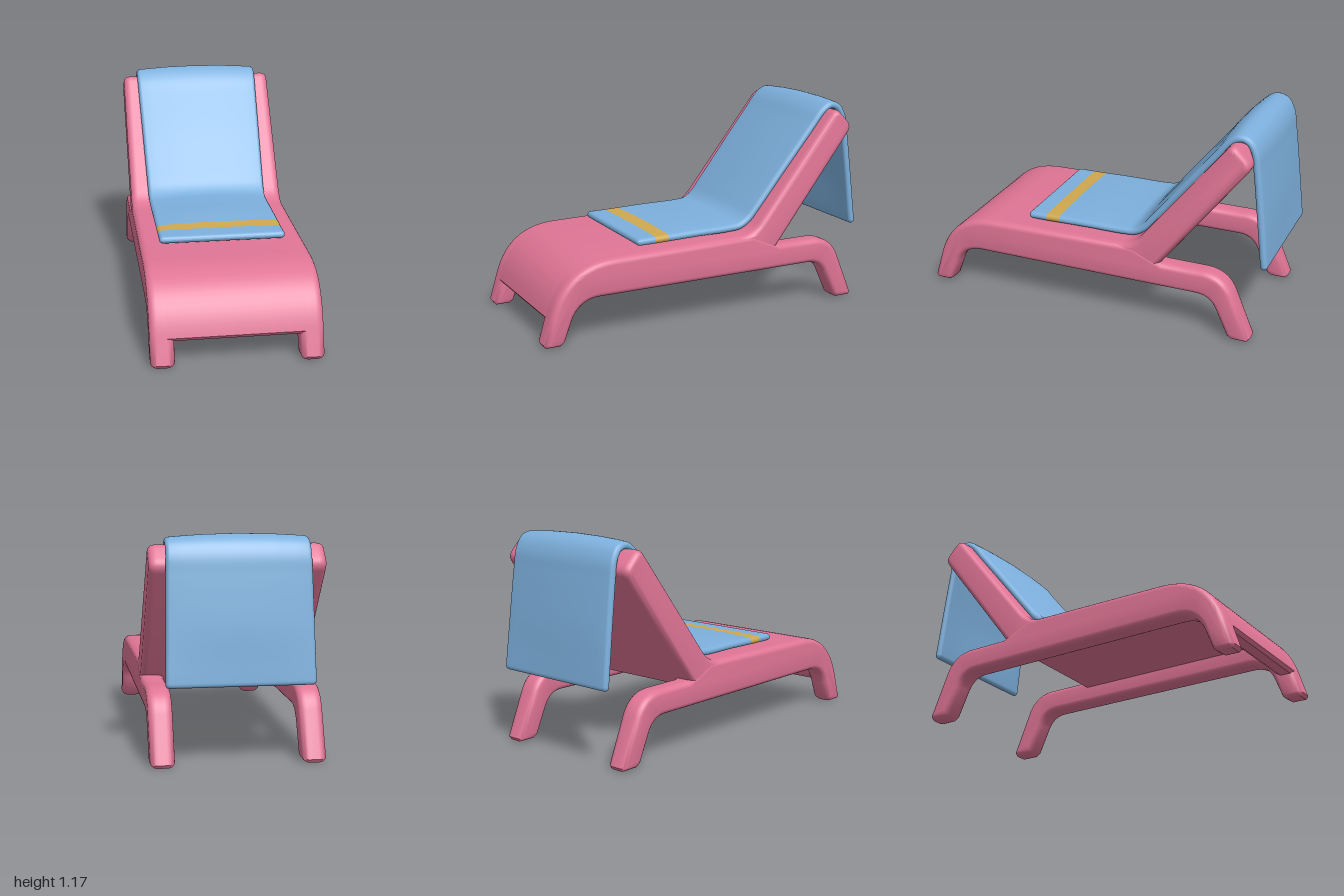
import * as THREE from 'three';
import { mergeVertices, toCreasedNormals } from 'three/addons/utils/BufferGeometryUtils.js';

const pink = new THREE.MeshStandardMaterial({ name: 'pinkPlastic', color: 0xe07596 });
const blue = new THREE.MeshStandardMaterial({ name: 'blueTowel', color: 0x7db0dd });
const yellow = new THREE.MeshStandardMaterial({ name: 'yellowStripe', color: 0xd0a94f });

// Closed side outline from [z, y, cut] corners: big cuts become curves, small ones chamfers
function outline(corners) {
  const pts = [];
  const n = corners.length;
  const at = (i) => new THREE.Vector2(corners[(i + n) % n][0], corners[(i + n) % n][1]);
  for (let i = 0; i < n; i++) {
    const cut = corners[i][2], c = at(i);
    if (!cut) { pts.push(c); continue; }
    const toward = (o) => o.clone().sub(c).setLength(cut).add(c);
    const curve = new THREE.QuadraticBezierCurve(toward(at(i - 1)), c, toward(at(i + 1)));
    pts.push(...curve.getPoints(cut < 0.03 ? 1 : cut > 0.1 ? 14 : 6));
  }
  return new THREE.Shape(pts);
}

// Side outline extruded across x with rounded edges
function slab(name, corners, width, x) {
  const bevel = 0.03, round = 0.04;
  let geo = new THREE.ExtrudeGeometry(outline(corners), {
    depth: width - 2 * round, bevelThickness: round, bevelSize: bevel,
    bevelOffset: -bevel, bevelSegments: 5, steps: 1,
  });
  geo.translate(0, 0, -(width - 2 * round) / 2);
  geo.rotateY(-Math.PI / 2);
  geo.translate(x, 0, 0);
  geo.deleteAttribute('uv');
  geo.deleteAttribute('normal');
  geo = toCreasedNormals(mergeVertices(geo, 1e-4), 0.9);
  const mesh = new THREE.Mesh(geo, pink);
  mesh.name = name;
  return mesh;
}

// Rows of the towel from front edge, over the backrest, to the hanging end
function towelRows() {
  const rows = [];
  const edge = [0, 0.0015, 0.005, 0.011, 0.02];
  const fullness = (d) => Math.sqrt(1 - (1 - d / 0.02) ** 2);
  for (const d of edge) rows.push({ z: 0.415 - d, y: 0.473, f: fullness(d) });
  rows.push({ z: 0.305, y: 0.473, f: 1 });
  const path = new THREE.CatmullRomCurve3([
    [0.225, 0.474], [0.05, 0.477], [-0.16, 0.478], [-0.23, 0.486], [-0.285, 0.52],
    [-0.35, 0.596], [-0.52, 0.808], [-0.69, 1.016], [-0.755, 1.096], [-0.81, 1.13],
    [-0.86, 1.115], [-0.893, 1.06], [-0.908, 0.97], [-0.93, 0.8], [-0.974, 0.44],
  ].map(([z, y]) => new THREE.Vector3(0, y, z)), false, 'centripetal');
  for (const p of path.getPoints(84)) rows.push({ z: p.z, y: p.y, f: 1 });
  for (const d of edge.slice(0, 4).reverse()) {
    rows.push({ z: -0.977 + d * 0.1, y: 0.417 + d, f: fullness(d) });
  }
  return rows;
}

function makeTowel() {
  const rows = towelRows();
  const half = 0.02;

  // Rounded slab cross-section: [flat share, rounding across, rounding through]
  const ring = [];
  for (const s of [1, -1]) {
    for (let k = 0; k <= 6; k++) {
      const a = s * (-Math.PI / 2 + (k * Math.PI) / 6);
      ring.push([s, Math.cos(a) * s, Math.sin(a)]);
    }
    for (const f of [0.85, 0.5, 0, -0.5, -0.85]) ring.push([s * f, 0, s]);
  }

  const pos = [];
  rows.forEach((r, i) => {
    const a = rows[Math.max(i - 1, 0)], b = rows[Math.min(i + 1, rows.length - 1)];
    const len = Math.hypot(b.z - a.z, b.y - a.y);
    const nz = (b.y - a.y) / len, ny = -(b.z - a.z) / len;
    const hanging = r.z < -0.81;
    const full = hanging
      ? 0.367 + 0.014 * (1.13 - r.y) / 0.7
      : 0.348 + 0.02 * (r.y - 0.48) / 0.65;
    // The cloth bulges along its middle and lies straight at both ends
    const fromEnd = hanging ? (r.y - 0.417) / 0.35 : (0.415 - r.z) / 0.35;
    const arch = 0.017 * THREE.MathUtils.smoothstep(fromEnd, 0, 1);
    const w = full - half * (1 - r.f);
    for (const [flat, c, s] of ring) {
      const x = flat * (w - half) + c * half;
      const h = s * half * r.f + arch * (1 - (x / full) ** 2);
      pos.push(x, r.y + ny * h, r.z + nz * h);
    }
  });

  const m = ring.length, index = [];
  for (let i = 0; i < rows.length - 1; i++) {
    for (let j = 0; j < m; j++) {
      const k = (j + 1) % m;
      const a = i * m + j, b = i * m + k, c = a + m, d = b + m;
      index.push(a, c, d, a, d, b);
    }
  }
  const geo = new THREE.BufferGeometry();
  geo.setAttribute('position', new THREE.Float32BufferAttribute(pos, 3));
  geo.setIndex(index);
  geo.computeVertexNormals();

  // The stripe is the single band between rows 5 and 6
  const band = m * 6;
  geo.addGroup(0, 5 * band, 0);
  geo.addGroup(5 * band, band, 1);
  geo.addGroup(6 * band, index.length - 6 * band, 0);
  const mesh = new THREE.Mesh(geo, [blue, yellow]);
  mesh.name = 'towel';
  return mesh;
}

export function createModel() {
  const group = new THREE.Group();
  group.name = 'sunLounger';

  // Full-width shell: front apron, thin seat and thick backrest
  group.add(slab('seatAndBackrest', [
    [0.966, 0.131, 0.02], [0.875, 0.435, 0.28], [-0.255, 0.455, 0.08],
    [-0.797, 1.132, 0.05], [-0.91, 1.015, 0.05], [-0.385, 0.335, 0],
    [0.79, 0.335, 0.12], [0.87, 0.131, 0.02],
  ], 0.9, 0));

  // Side rails running into front and rear legs
  const rail = [
    [1.006, 0, 0.02], [0.875, 0.435, 0.28], [-0.26, 0.453, 0], [-0.43, 0.378, 0],
    [-0.785, 0.378, 0.13], [-0.943, 0, 0.02], [-0.815, 0, 0.02],
    [-0.705, 0.238, 0.08], [0.80, 0.238, 0.12], [0.89, 0, 0.02],
  ];
  group.add(slab('leftRailAndLegs', rail, 0.126, 0.39));
  group.add(slab('rightRailAndLegs', rail, 0.126, -0.39));

  group.add(makeTowel());
  return group;
}
